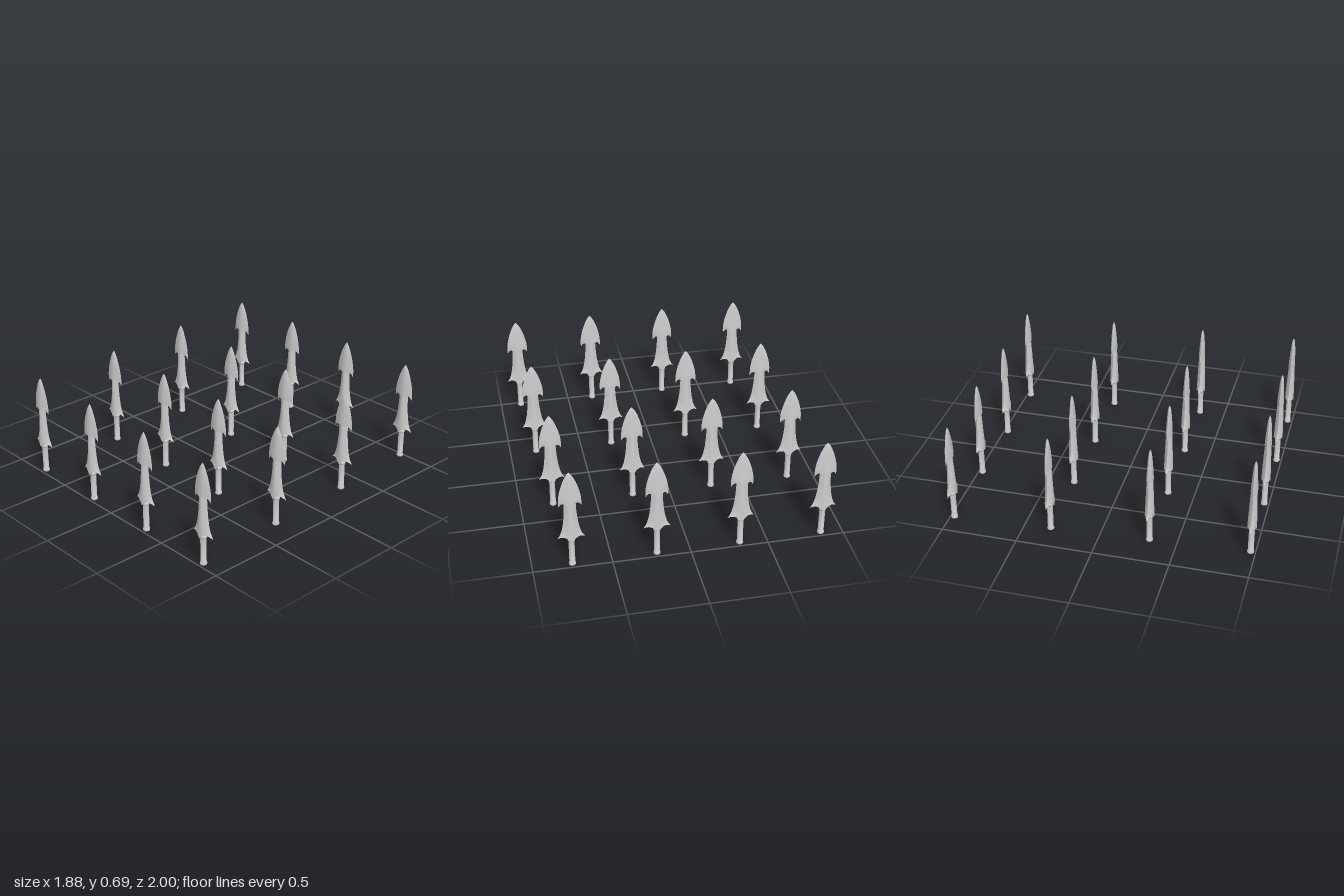
import * as THREE from 'three';
import { toCreasedNormals } from 'three/addons/utils/BufferGeometryUtils.js';

const ACROSS = 20; // divisions across one face of a blade

// Lens-shaped blade swept through [height, half width, half thickness] rows.
// edge(a) shifts the lower rim; a runs from 0 at the ridge to 1 at the side.
function bladeGeometry(rows, divisions, edge) {
  const curve = new THREE.CatmullRomCurve3(rows.map(([y, w, t]) => new THREE.Vector3(w, y, t)), false, 'centripetal');
  const points = curve.getPoints(divisions);
  const y0 = points[0].y, height = points[divisions].y - y0;
  const ring = ACROSS * 2;
  const position = [], index = [];
  for (const p of points) {
    const fade = (1 - (p.y - y0) / height) ** 3;
    for (let j = 0; j < ring; j++) {
      const front = j <= ACROSS;
      const u = front ? (2 * j) / ACROSS - 1 : 3 - (2 * j) / ACROSS;
      const a = Math.abs(u);
      const z = Math.max(0, p.z) * (1 - a ** 1.45) * (front ? 1 : -1);
      position.push(u * Math.max(0, p.x), p.y + edge(a) * fade, z);
    }
  }
  for (let i = 0; i < divisions; i++) {
    for (let j = 0; j < ring; j++) {
      const a = i * ring + j, b = i * ring + ((j + 1) % ring);
      index.push(a, b, b + ring, a, b + ring, a + ring);
    }
  }
  // underside between the front and back rims
  for (let j = 0; j < ACROSS; j++) {
    const c = ring - j - 1, d = (ring - j) % ring;
    index.push(j, c, j + 1, j, d, c);
  }
  const geometry = new THREE.BufferGeometry();
  geometry.setAttribute('position', new THREE.Float32BufferAttribute(position, 3));
  geometry.setIndex(index);
  return toCreasedNormals(geometry, 0.6);
}

export function createModel() {
  const model = new THREE.Group();
  model.name = 'bladeField';
  const material = new THREE.MeshStandardMaterial({ color: 0xcccccc });

  // pointed head with two hanging barbs
  const head = bladeGeometry([
    [0.472, 0.07, 0.023], [0.5, 0.071, 0.022], [0.53, 0.068, 0.02], [0.582, 0.055, 0.017],
    [0.645, 0.031, 0.012], [0.675, 0.014, 0.007], [0.692, 0, 0],
  ], 18, (a) => (a < 0.5 ? 0 : 0.006 * Math.sin((a - 0.5) * 2 * Math.PI) - 0.027 * ((a - 0.5) * 2) ** 2));

  // lower blade flaring into a scalloped skirt
  const skirt = bladeGeometry([
    [0.193, 0.086, 0.031], [0.222, 0.07, 0.03], [0.26, 0.058, 0.029],
    [0.32, 0.047, 0.027], [0.4, 0.039, 0.024], [0.5, 0.035, 0.019],
  ], 18, (a) => 0.016 * a + 0.024 * Math.sin(Math.PI * a));

  // round grip with pommel and collar
  const profile = [
    [0, 0], [0.017, 0], [0.022, 0.005], [0.023, 0.012], [0.022, 0.018], [0.019, 0.023],
    [0.019, 0.186], [0.023, 0.19], [0.024, 0.197], [0.023, 0.205], [0.019, 0.21], [0, 0.215],
  ].map(([r, y]) => new THREE.Vector2(r, y));
  const grip = toCreasedNormals(new THREE.LatheGeometry(profile, 20), 0.7);

  const parts = { bladeHead: head, bladeSkirt: skirt, grip };

  // four sheared rows of four
  for (let row = 0; row < 4; row++) {
    for (let col = 0; col < 4; col++) {
      const blade = new THREE.Group();
      blade.name = `blade${row * 4 + col + 1}`;
      for (const [name, geometry] of Object.entries(parts)) {
        const mesh = new THREE.Mesh(geometry, material);
        mesh.name = name;
        blade.add(mesh);
      }
      blade.position.set((col - 1.5) * 0.535 + (row - 1.5) * 0.0355, 0, (row - 1.5) * 0.646);
      model.add(blade);
    }
  }
  return model;
}
